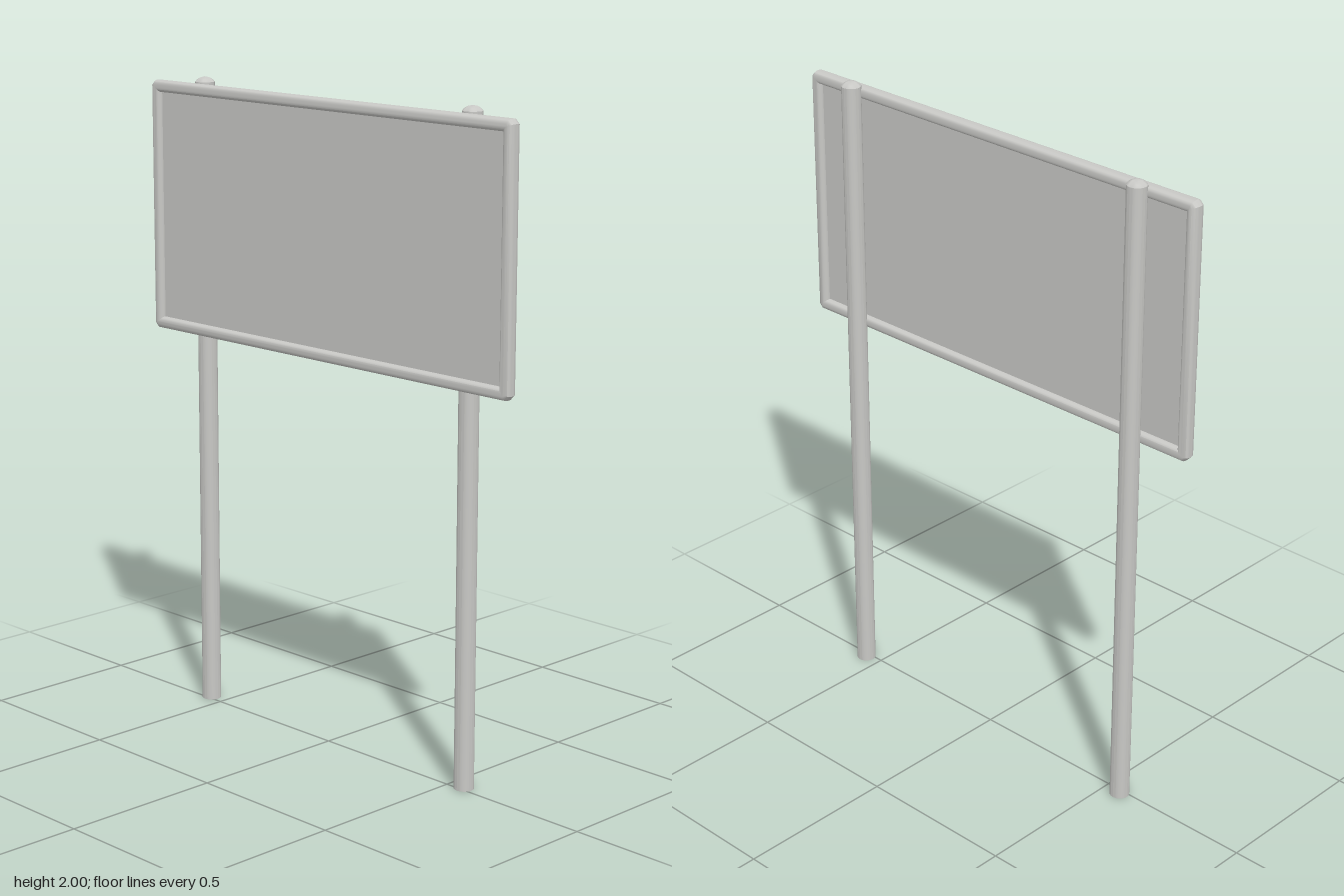
import * as THREE from 'three';
import { toCreasedNormals } from 'three/addons/utils/BufferGeometryUtils.js';

const metal = new THREE.MeshStandardMaterial({ color: 0xc8c8c5 });
metal.name = 'light grey metal';

const WIDTH = 1.496, BOTTOM = 1.2, TOP = 1.98, BAR = 0.037, DEPTH = 0.043;
const HEIGHT = TOP - BOTTOM, MID_Y = (TOP + BOTTOM) / 2, MID_Z = DEPTH / 2;

function add(parent, name, geometry, x, y, z) {
  const mesh = new THREE.Mesh(geometry, metal);
  mesh.name = name;
  mesh.position.set(x, y, z);
  parent.add(mesh);
}

// Rectangle outline with slightly cut corners
function outline(target, w, h, cut) {
  const x = w / 2, y = h / 2;
  const points = [
    [x - cut, -y], [x, -y + cut], [x, y - cut], [x - cut, y],
    [-x + cut, y], [-x, y - cut], [-x, -y + cut], [-x + cut, -y],
  ];
  return target.setFromPoints(points.map(([px, py]) => new THREE.Vector2(px, py)));
}

// Mitred frame with rounded bars
function frameGeometry() {
  const round = 0.014, roundZ = 0.017;
  const shape = outline(new THREE.Shape(), WIDTH - 2 * round, HEIGHT - 2 * round, 0.006);
  const inset = 2 * (BAR - round), w = (WIDTH - inset) / 2, h = (HEIGHT - inset) / 2;
  const hole = new THREE.Path();
  hole.moveTo(-w, -h).lineTo(-w, h).lineTo(w, h).lineTo(w, -h).closePath();
  shape.holes.push(hole);
  const geometry = new THREE.ExtrudeGeometry(shape, {
    depth: DEPTH - 2 * roundZ, bevelEnabled: true,
    bevelSize: round, bevelThickness: roundZ, bevelSegments: 4,
  });
  geometry.translate(0, 0, roundZ - MID_Z);
  return toCreasedNormals(geometry, 0.6);
}

// Round post with a shallow domed cap and a flat foot
function postGeometry() {
  const r = 0.03;
  const profile = [
    [0, 0], [r, 0], [r, 1.984], [r * 0.8, 1.991], [r * 0.45, 1.997], [0, 2],
  ].map(([x, y]) => new THREE.Vector2(x, y));
  return toCreasedNormals(new THREE.LatheGeometry(profile, 20).toNonIndexed(), 0.6);
}

export function createModel() {
  const model = new THREE.Group();
  model.name = 'signboard';

  add(model, 'frame', frameGeometry(), 0, MID_Y, MID_Z);
  add(model, 'panel', new THREE.BoxGeometry(WIDTH - BAR, HEIGHT - BAR, 0.009), 0, MID_Y, MID_Z);

  const post = postGeometry();
  add(model, 'leftPost', post, 0.555, 0, -0.013);
  add(model, 'rightPost', post, -0.555, 0, -0.013);
  return model;
}
